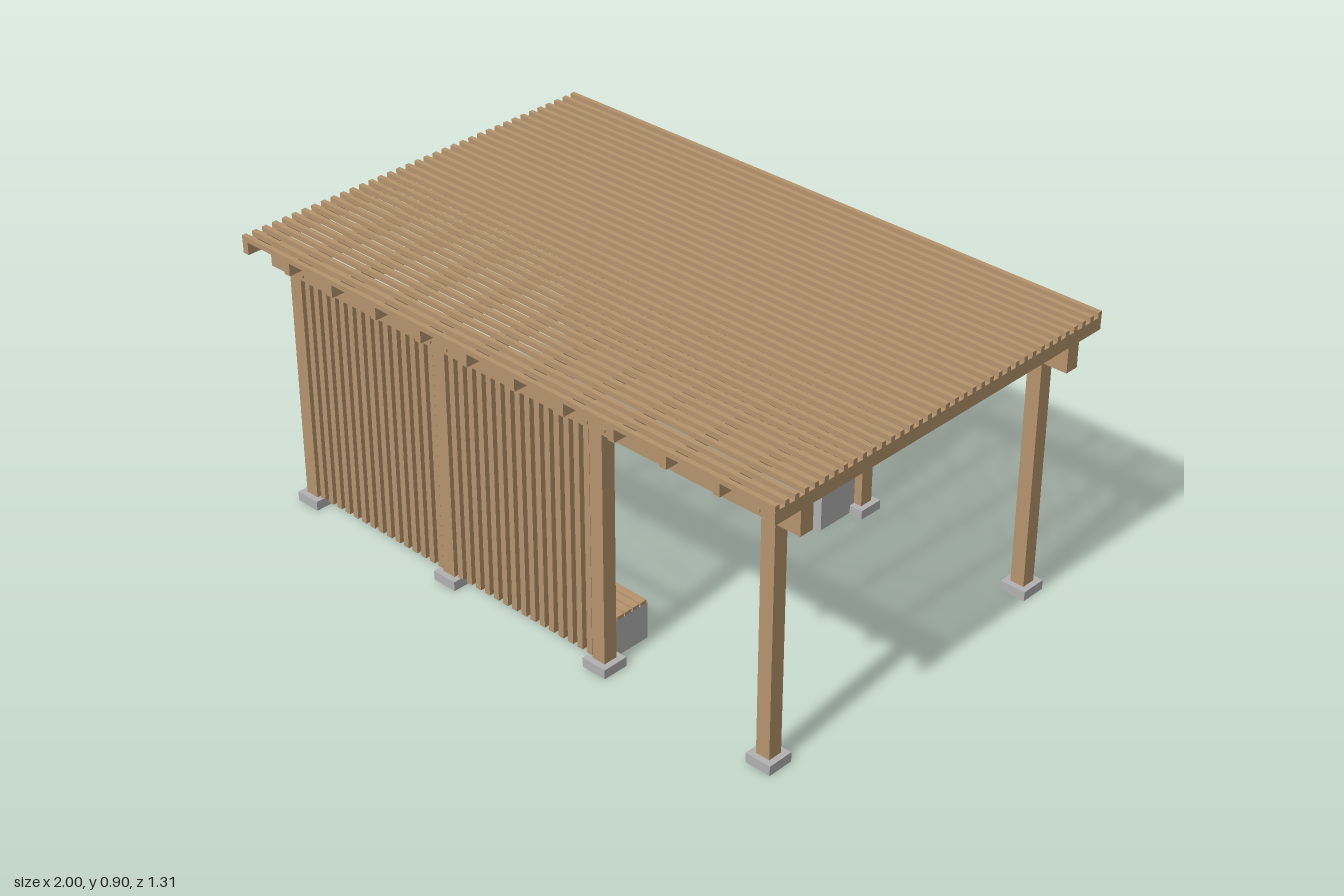
import * as THREE from 'three';

export function createModel() {
  const model = new THREE.Group();
  model.name = 'pergola';
  const wood = new THREE.MeshStandardMaterial({ name: 'wood', color: 0xb5946d });
  const concrete = new THREE.MeshStandardMaterial({ name: 'concrete', color: 0xb2b2b2 });

  // Box given by its min and max corners
  const box = (parent, name, mat, [x0, x1], [y0, y1], [z0, z1]) => {
    const mesh = new THREE.Mesh(new THREE.BoxGeometry(x1 - x0, y1 - y0, z1 - z0), mat);
    mesh.position.set((x0 + x1) / 2, (y0 + y1) / 2, (z0 + z1) / 2);
    mesh.name = name;
    parent.add(mesh);
    return mesh;
  };
  const around = (c, w) => [c - w / 2, c + w / 2];
  const group = (name) => {
    const g = new THREE.Group();
    g.name = name;
    model.add(g);
    return g;
  };

  const postX = [-0.896, -0.299, 0.299, 0.896];
  const postZ = 0.537, postW = 0.046;

  for (const s of [1, -1]) {
    const side = s > 0 ? 'front' : 'back';

    // Posts on concrete footings, with bolt heads on the beam above
    const posts = group(side + 'Posts');
    for (const x of postX) {
      box(posts, 'footing', concrete, around(x, 0.084), [0, 0.03], around(s * postZ, 0.084));
      box(posts, 'post', wood, around(x, postW), [0.03, 0.762], around(s * postZ, postW));
      for (const dx of [-0.032, 0.032]) for (const y of [0.78, 0.822]) {
        const bolt = new THREE.Mesh(new THREE.CylinderGeometry(0.007, 0.007, 0.006, 8), wood);
        bolt.rotation.x = Math.PI / 2;
        bolt.position.set(x + dx, y, s * (postZ + postW / 2 + 0.002));
        bolt.name = 'boltHead';
        posts.add(bolt);
      }
    }
    box(model, side + 'Beam', wood, [-1, 1], [0.762, 0.84], around(s * postZ, postW));

    // Slatted screens in the first two bays
    const screen = group(side + 'Screen');
    for (let bay = 0; bay < 2; bay++) {
      const x0 = postX[bay] + postW / 2, x1 = postX[bay + 1] - postW / 2;
      const n = 15, step = (x1 - x0) / n;
      for (let i = 0; i < n; i++) {
        box(screen, 'slat', wood, around(x0 + (i + 0.5) * step, 0.02), [0.03, 0.755], around(s * 0.543, 0.02));
      }
      for (const y of [0.1, 0.422, 0.725]) {
        box(screen, 'rail', wood, [x0, x1], around(y, 0.014), around(s * 0.526, 0.014));
      }
    }

    // Long bench: concrete base with boards running along x in two lengths
    const bench = group(side + 'Bench');
    box(bench, 'benchBase', concrete, [-0.87, 0.295], [0.004, 0.122], around(s * 0.439, 0.148));
    for (let i = 0; i < 5; i++) {
      const z = s * (0.365 + 0.0296 * (i + 0.5));
      box(bench, 'seatBoard', wood, [-0.87, -0.29], [0.122, 0.133], around(z, 0.025));
      box(bench, 'seatBoard', wood, [-0.286, 0.295], [0.122, 0.133], around(z, 0.025));
    }
  }

  // End bench joining the two long benches
  const endBench = group('endBench');
  box(endBench, 'benchBase', concrete, [-0.87, -0.725], [0.004, 0.122], [-0.365, 0.365]);
  for (let i = 0; i < 5; i++) {
    box(endBench, 'seatBoard', wood, around(-0.87 + 0.029 * (i + 0.5), 0.025), [0.122, 0.133], [-0.363, 0.363]);
  }

  // Roof: rafters across, thin battens along the length
  const roof = group('roof');
  for (let i = 0; i < 12; i++) {
    box(roof, 'rafter', wood, around(-0.989 + i * 1.978 / 11, 0.022), [0.84, 0.88], [-0.655, 0.655]);
  }
  for (let i = 0; i < 37; i++) {
    box(roof, 'batten', wood, [-1, 1], [0.88, 0.896], around(-0.648 + i * 0.036, 0.015));
  }
  return model;
}
